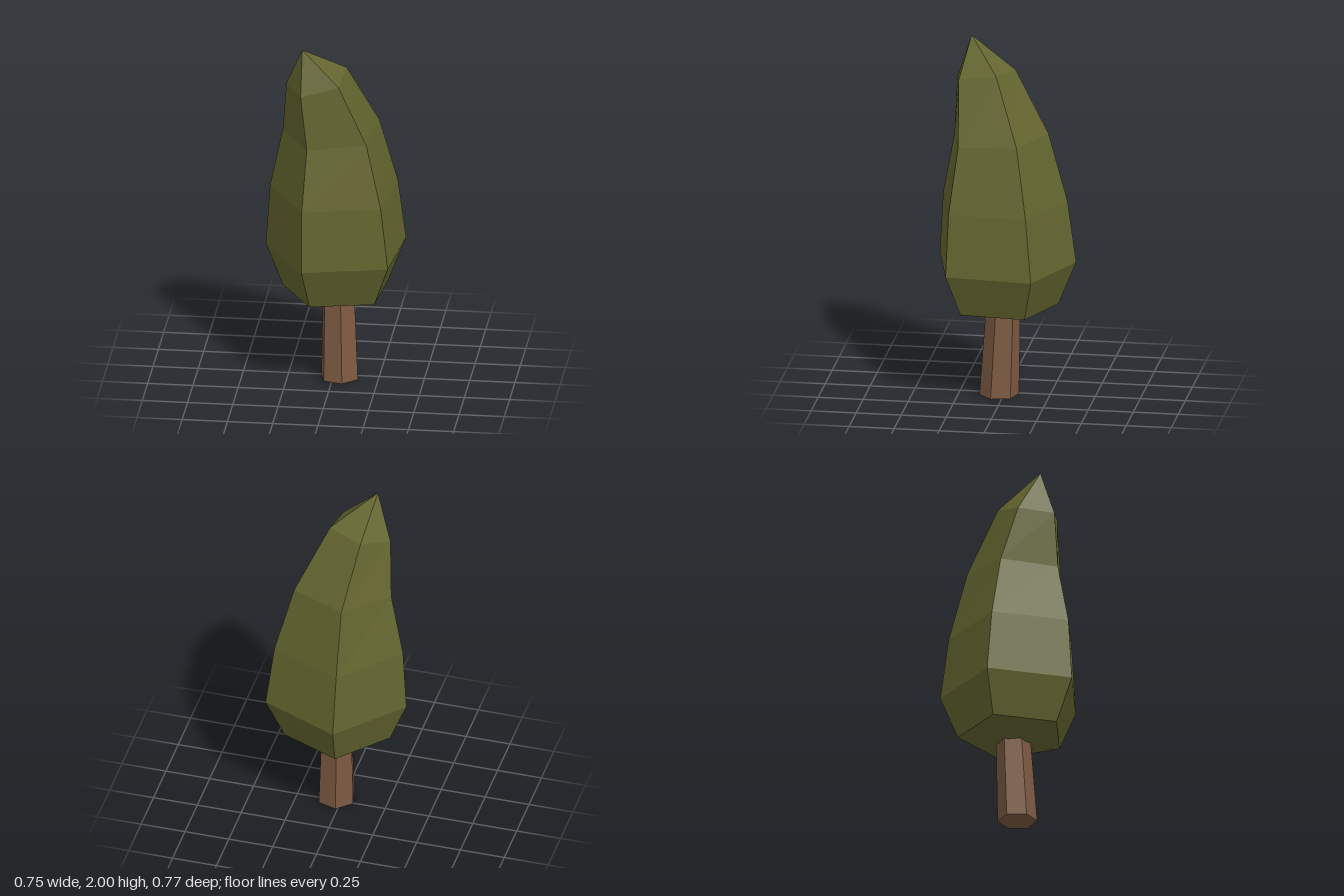
import * as THREE from 'three';

// Closed flat-shaded skin over rings of [x, y, z] points, fanned to a point at each end
function loft(rings, bottom, top) {
  const pos = [];
  const tri = (a, b, c) => pos.push(...a, ...b, ...c);
  const n = rings[0].length;
  for (let i = 0; i < n; i++) {
    const j = (i + 1) % n;
    tri(bottom, rings[0][i], rings[0][j]);
    for (let k = 0; k < rings.length - 1; k++) {
      const lo = rings[k], hi = rings[k + 1];
      tri(lo[j], lo[i], hi[i]);
      tri(lo[j], hi[i], hi[j]);
    }
    const last = rings[rings.length - 1];
    tri(last[j], last[i], top);
  }
  const geo = new THREE.BufferGeometry();
  geo.setAttribute('position', new THREE.Float32BufferAttribute(pos, 3));
  geo.computeVertexNormals();
  return geo;
}

// Regular hexagon lying flat
function hexagon(x, y, z, r) {
  return Array.from({ length: 6 }, (_, i) => {
    const a = THREE.MathUtils.degToRad(17 + i * 60);
    return [x + r * Math.cos(a), y, z + r * Math.sin(a)];
  });
}

export function createModel() {
  const leafGreen = new THREE.MeshStandardMaterial({ color: 0x64652f, flatShading: true });
  leafGreen.name = 'leafGreen';
  const barkBrown = new THREE.MeshStandardMaterial({ color: 0x7d5a42, flatShading: true });
  barkBrown.name = 'barkBrown';

  const tree = new THREE.Group();
  tree.name = 'tree';

  // Leaning tapered trunk, its top hidden in the crown
  const trunk = new THREE.Mesh(
    loft(
      [hexagon(0.035, 0, 0.028, 0.109), hexagon(0.026, 0.52, 0.006, 0.094)],
      [0.035, 0, 0.028], [0.026, 0.52, 0.006]),
    barkBrown);
  trunk.name = 'trunk';
  tree.add(trunk);

  // Five-sided crown bending towards its tip
  const widest = [[-0.38, 0.75, -0.03], [-0.06, 0.75, -0.385], [0.375, 0.75, -0.2], [0.33, 0.75, 0.28], [-0.135, 0.75, 0.385]];
  const crownRings = [
    widest.map(([x, , z]) => [x * 0.75, 0.51, z * 0.75]),
    widest,
    [[-0.355, 1.1, -0.01], [-0.065, 1.1, -0.335], [0.335, 1.1, -0.165], [0.29, 1.1, 0.27], [-0.135, 1.1, 0.365]],
    [[-0.28, 1.45, 0.02], [-0.065, 1.48, -0.23], [0.24, 1.48, -0.1], [0.205, 1.46, 0.23], [-0.115, 1.44, 0.3]],
    [[-0.25, 1.76, 0.11], [-0.12, 1.82, -0.04], [0.075, 1.84, 0.04], [0.055, 1.8, 0.25], [-0.15, 1.75, 0.29]],
  ];
  const crown = new THREE.Mesh(loft(crownRings, [0.02, 0.44, 0.01], [-0.15, 2, 0.21]), leafGreen);
  crown.name = 'crown';
  tree.add(crown);

  return tree;
}
